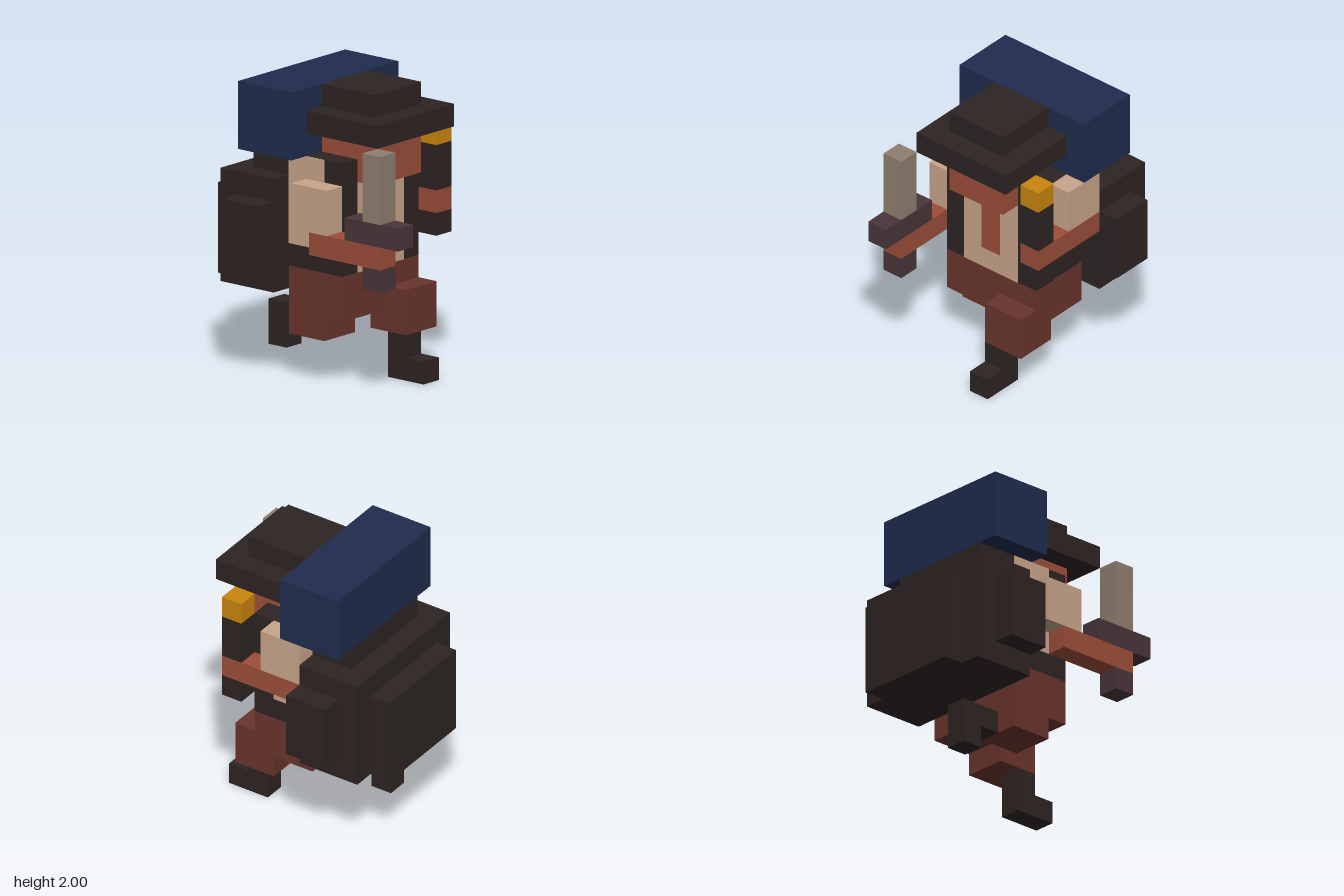
import * as THREE from 'three';

const U = 2 / 13; // one block
const PLATE = 0.04; // painted plate thickness, in blocks

function material(name, color) {
  const m = new THREE.MeshStandardMaterial({ color });
  m.name = name;
  return m;
}

export function createModel() {
  const model = new THREE.Group();
  model.name = 'explorer';

  const dark = material('dark leather', 0x2d2423);
  const skin = material('brick skin', 0x9c4e39);
  const shirt = material('tan shirt', 0xc9a58a);
  const trousers = material('maroon trousers', 0x6a342d);
  const blue = material('navy cloth', 0x202c4e);
  const gold = material('gold flame', 0xc9860f);
  const steel = material('grey blade', 0x8f7e70);
  const plum = material('plum hilt', 0x49353a);

  function part(name) {
    const g = new THREE.Group();
    g.name = name;
    model.add(g);
    return g;
  }

  // Box given by its block limits along each axis
  function block(parent, name, mat, [x0, x1], [y0, y1], [z0, z1]) {
    const geo = new THREE.BoxGeometry((x1 - x0) * U, (y1 - y0) * U, (z1 - z0) * U);
    const mesh = new THREE.Mesh(geo, mat);
    mesh.name = name;
    mesh.position.set((x0 + x1) * U / 2, (y0 + y1) * U / 2, (z0 + z1) * U / 2);
    parent.add(mesh);
  }

  // Torso: coat with shirt front, beard strip and armholes
  const torso = part('torso');
  block(torso, 'coat', dark, [-2.5, 2.5], [5, 10], [-1.5, 1.5]);
  block(torso, 'shirtFront', shirt, [-1.5, 1.5], [5, 9], [1.5, 1.5 + PLATE]);
  block(torso, 'beard', skin, [-0.5, 0.5], [6, 9], [1.5 + PLATE, 1.5 + 2 * PLATE]);
  for (const [name, x] of [['leftArmhole', 2.5], ['rightArmhole', -2.5 - PLATE]]) {
    block(torso, name, shirt, [x, x + PLATE], [6, 10], [-1.5, 0.5]);
  }

  // Head and hat
  const head = part('head');
  block(head, 'face', skin, [-1.5, 1.5], [9, 11], [-0.5, 2.5]);
  block(head, 'hatBrim', dark, [-2.5, 2.5], [11, 12], [-0.5, 3.5]);
  block(head, 'hatCrown', dark, [-1.5, 1.5], [12, 13], [-0.5, 2.5]);

  // Left arm holding a torch
  const leftArm = part('leftArm');
  block(leftArm, 'sleeve', shirt, [2.5, 3.5], [8, 10], [-1.5, 0.5]);
  block(leftArm, 'forearm', skin, [2.5, 3.5], [7, 8], [-1.5, 2.5]);
  block(leftArm, 'torchEnd', dark, [2.5, 3.5], [6, 7], [1.5, 2.5]);
  block(leftArm, 'torchHandle', dark, [2.5, 3.5], [8, 10], [1.5, 2.5]);
  block(leftArm, 'torchFlame', gold, [2.5, 3.5], [10, 11], [1.5, 2.5]);

  // Right arm holding a dagger
  const rightArm = part('rightArm');
  block(rightArm, 'sleeve', shirt, [-3.5, -2.5], [7, 9], [-0.5, 1.5]);
  block(rightArm, 'forearm', skin, [-3.5, -2.5], [6, 7], [0.5, 4.5]);
  block(rightArm, 'pommel', plum, [-3.5, -2.5], [5, 6], [3.5, 4.5]);
  block(rightArm, 'guard', plum, [-3.5, -2.5], [7, 8], [2.5, 5.5]);
  block(rightArm, 'blade', steel, [-3.5, -2.5], [8, 11], [3.5, 4.5]);

  // Hips and striding legs
  const legs = part('legs');
  block(legs, 'hips', trousers, [-2.5, 2.5], [3, 5], [-1.5, 1.5]);
  block(legs, 'leftThigh', trousers, [0.5, 2.5], [2, 4], [0.5, 2.5]);
  block(legs, 'leftShin', dark, [0.5, 1.5], [1, 2], [1.5, 2.5]);
  block(legs, 'leftFoot', dark, [0.5, 1.5], [0, 1], [1.5, 3.5]);
  block(legs, 'rightThigh', trousers, [-2.5, -0.5], [2, 3], [-1.5, 0.5]);
  block(legs, 'rightShin', dark, [-1.5, -0.5], [2, 3], [-3.5, -1.5]);
  block(legs, 'rightFoot', dark, [-1.5, -0.5], [1, 2], [-3.5, -2.5]);

  // Backpack with pockets and a bedroll on top
  const pack = part('backpack');
  block(pack, 'packBody', dark, [-3.5, 3.5], [4, 9], [-4.5, -1.5]);
  block(pack, 'packLid', dark, [-2.5, 2.5], [9, 10], [-3.5, -1.5]);
  block(pack, 'backPocket', dark, [-2.5, 2.5], [4, 8], [-5.5, -4.5]);
  block(pack, 'leftPocket', dark, [3.5, 4.5], [5, 8], [-3.5, -1.5]);
  block(pack, 'rightPocket', dark, [-4.5, -3.5], [5, 8], [-3.5, -1.5]);
  block(pack, 'bedroll', blue, [-3.5, 3.5], [10, 13], [-3.5, -0.5]);

  return model;
}
